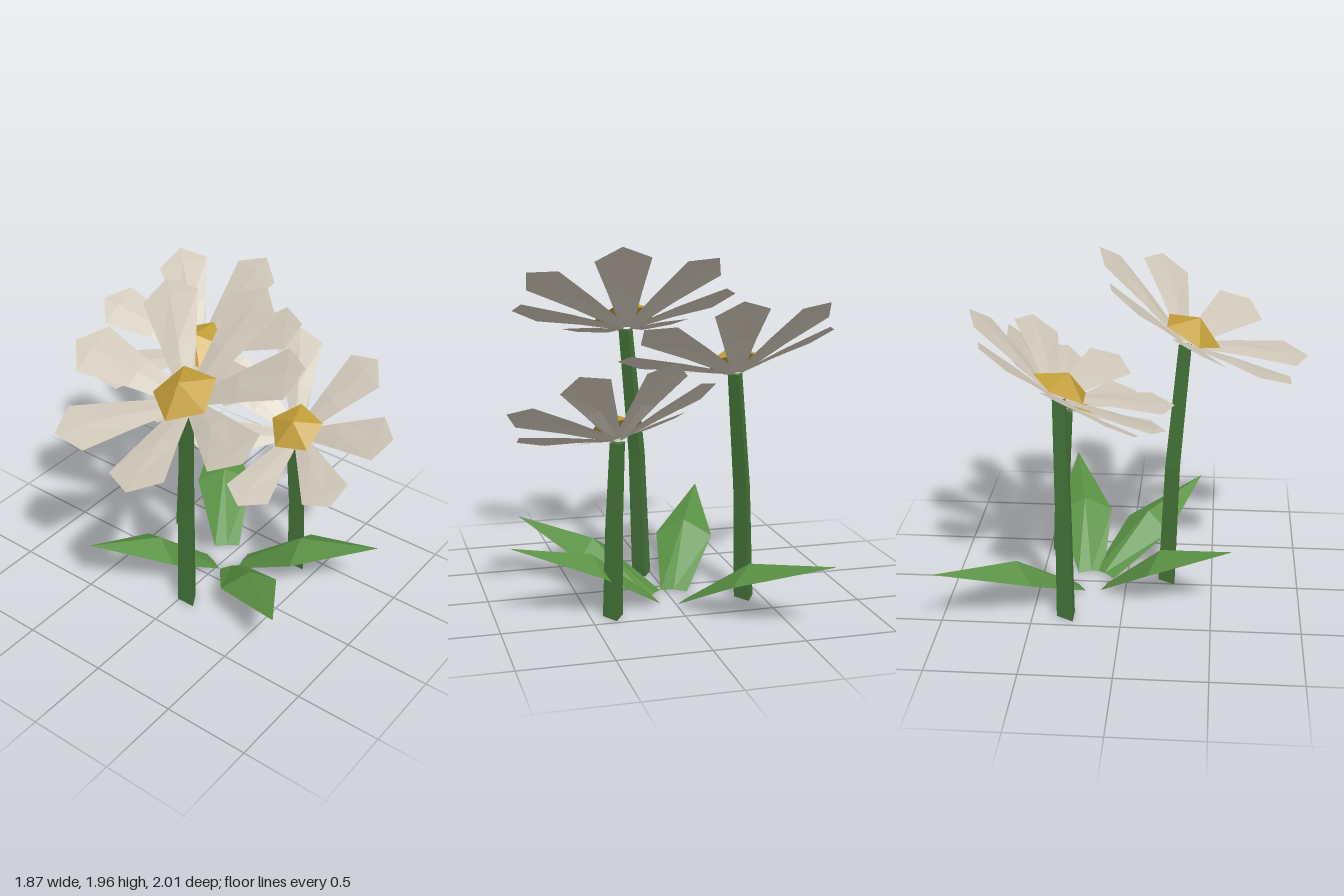
import * as THREE from 'three';

const mat = (color, side = THREE.FrontSide) =>
  new THREE.MeshStandardMaterial({ color, flatShading: true, side });

const petalMat = mat(0xccc4b6, THREE.DoubleSide);
const leafMat = mat(0x5a9144, THREE.DoubleSide);
const stemMat = mat(0x457639);
const coreMat = mat(0xc19d38);

// Ridged blade along +z; each section is [distance, height, half width, ridge]
function blade(sections) {
  const pos = [], index = [];
  sections.forEach(([d, h, w, ridge], i) => {
    pos.push(w, h, d, 0, h + ridge, d, -w, h, d);
    if (i === 0) return;
    const a = (i - 1) * 3, b = i * 3;
    for (const k of [0, 1]) {
      index.push(a + k, a + k + 1, b + k + 1);
      if (w > 0) index.push(a + k, b + k + 1, b + k);
    }
  });
  const geo = new THREE.BufferGeometry();
  geo.setAttribute('position', new THREE.Float32BufferAttribute(pos, 3));
  geo.setIndex(index);
  geo.computeVertexNormals();
  return geo;
}

function part(name, geometry, material, parent) {
  const mesh = new THREE.Mesh(geometry, material);
  mesh.name = name;
  parent.add(mesh);
  return mesh;
}

// Three-sided stem with a flat front, leaning further the higher it gets
function stemGeometry(foot, top) {
  const h = top[1];
  const geo = new THREE.CylinderGeometry(0.048, 0.064, h, 3, 2, false, Math.PI);
  geo.translate(0, h / 2, 0);
  const p = geo.attributes.position;
  for (let i = 0; i < p.count; i++) {
    const y = Math.max(0, p.getY(i));
    const bend = (y / h) ** 1.8;
    p.setXYZ(
      i,
      p.getX(i) + foot[0] + (top[0] - foot[0]) * bend,
      y,
      p.getZ(i) + foot[1] + (top[2] - foot[1]) * bend,
    );
  }
  geo.computeVertexNormals();
  return geo;
}

export function createModel() {
  const model = new THREE.Group();
  model.name = 'flowers';

  const petalGeo = blade([
    [0.02, 0.0, 0.035, 0.0],
    [0.3, 0.1, 0.095, 0.012],
    [0.575, 0.185, 0.156, 0.006],
    [0.68, 0.215, 0, 0],
  ]);
  // Low five-sided dome
  const coreGeo = new THREE.ConeGeometry(0.182, 0.1, 5);
  coreGeo.translate(0, 0.12, 0);

  // Flowers: stem foot (x, z), stem top, head base, tilt, roll, first petal and dome angles, size
  const flowers = [
    { name: 'tallFlower', foot: [0.05, 0.25], top: [0.12, 1.45, 0.33], head: [0.12, 1.46, 0.32], tilt: 0.48, roll: 0.03, turn: 13.6, domeTurn: 0, size: 1 },
    { name: 'middleFlower', foot: [-0.405, -0.3], top: [-0.33, 1.28, -0.325], head: [-0.323, 1.29, -0.35], tilt: 0.455, roll: -0.06, turn: 15.7, domeTurn: 36, size: 0.92 },
    { name: 'shortFlower', foot: [0.375, -0.415], top: [0.335, 0.95, -0.37], head: [0.345, 0.97, -0.385], tilt: 0.55, roll: -0.1, turn: 0, domeTurn: -18, size: 0.86 },
  ];
  for (const f of flowers) {
    const flower = new THREE.Group();
    flower.name = f.name;
    part('stem', stemGeometry(f.foot, f.top), stemMat, flower);

    const head = new THREE.Group();
    head.name = 'flowerHead';
    head.position.set(...f.head);
    head.rotation.set(f.tilt, 0, f.roll);
    head.scale.setScalar(f.size);
    const dome = part('flowerCentre', coreGeo, coreMat, head);
    dome.rotation.y = THREE.MathUtils.degToRad(f.domeTurn);
    for (let i = 0; i < 7; i++) {
      const petal = part('petal', petalGeo, petalMat, head);
      petal.rotation.y = THREE.MathUtils.degToRad(f.turn) + (i * Math.PI * 2) / 7;
    }
    flower.add(head);
    model.add(flower);
  }

  // Leaves fan out from a shared root point to their tips
  const root = new THREE.Vector3(0, 0, -0.2);
  const tips = [[-0.66, 0.38, -1.0], [0.93, 0.42, -0.38], [-0.38, 0.43, 0.61], [0.76, 0.36, 0.42]];
  for (const [x, y, z] of tips) {
    const dx = x - root.x, dz = z - root.z, reach = Math.hypot(dx, dz);
    const leaf = part('leaf', blade([
      [0.1, 0.005, 0.075, 0.01],
      [0.1 + (reach - 0.1) * 0.44, y * 0.55, 0.165, 0.09],
      [reach, y, 0, 0],
    ]), leafMat, model);
    leaf.position.copy(root);
    leaf.rotation.y = Math.atan2(dx, dz);
  }

  return model;
}
